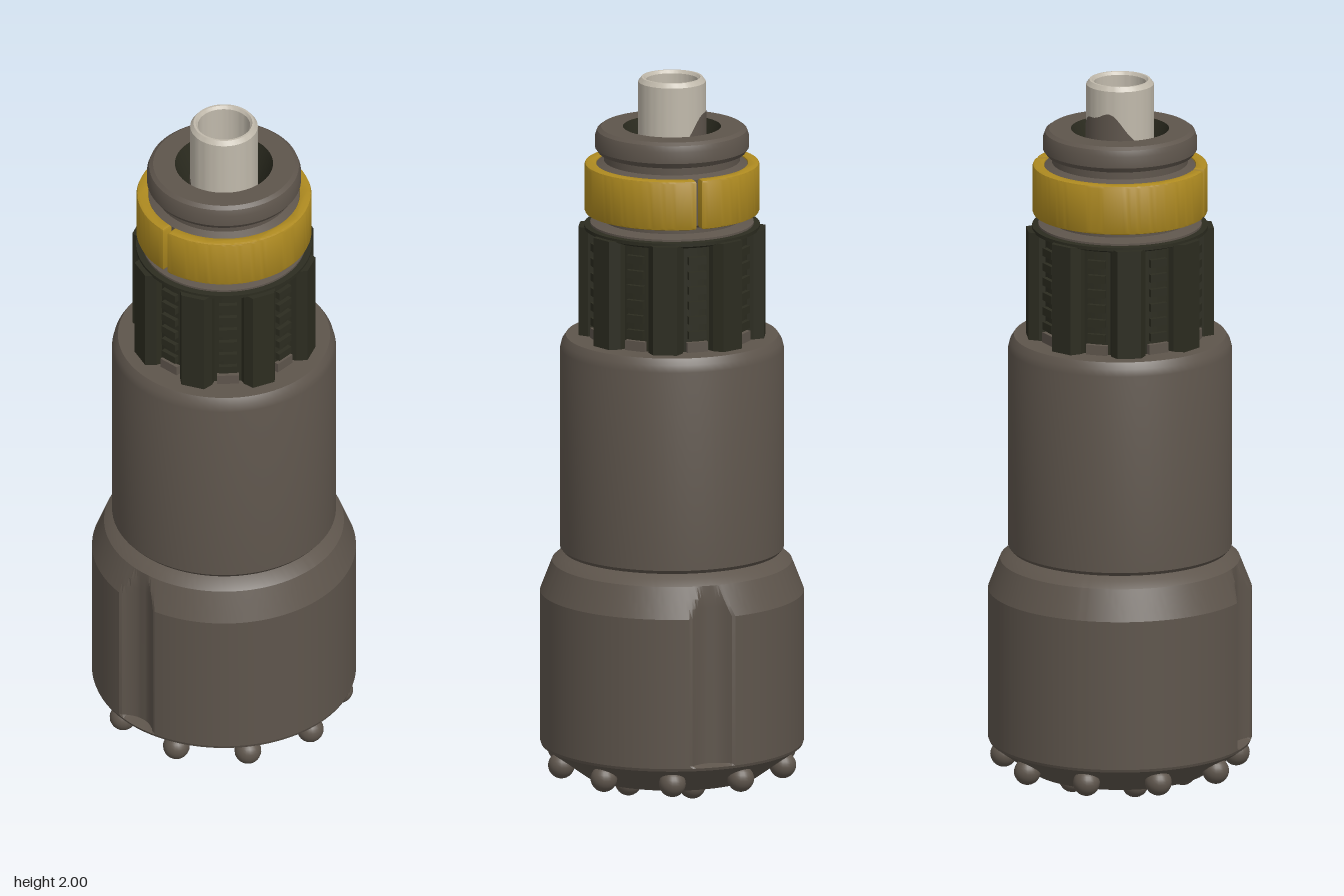
import * as THREE from 'three';
import { toCreasedNormals } from 'three/addons/utils/BufferGeometryUtils.js';

const mat = (name, color) => {
  const m = new THREE.MeshStandardMaterial({ color });
  m.name = name;
  return m;
};

export function createModel() {
  const steel = mat('brown steel', 0x5e554c);
  const dark = mat('dark olive', 0x2c2c20);
  const gold = mat('gold', 0xae8a20);
  const pale = mat('pale metal', 0xc0b9ab);

  const root = new THREE.Group();
  const add = (name, geometry, material, parent = root) => {
    const mesh = new THREE.Mesh(geometry, material);
    mesh.name = name;
    parent.add(mesh);
    return mesh;
  };
  const group = (name) => {
    const g = new THREE.Group();
    g.name = name;
    root.add(g);
    return g;
  };
  const lathe = (pts, segs = 72) =>
    new THREE.LatheGeometry(pts.map(([r, y]) => new THREE.Vector2(r, y)), segs);
  const turned = (pts) => toCreasedNormals(lathe(pts), 0.45);

  // Bit head, with a shallow scooped flute pressed into front and back
  const head = lathe([
    [0.097, 0.04], [0.25, 0.04], [0.36, 0.12], [0.363, 0.128], [0.363, 0.134], [0.363, 0.55],
    [0.353, 0.576], [0.343, 0.602], [0.33, 0.635], [0.31, 0.652], [0.275, 0.668], [0.2, 0.668],
  ], 240);
  const p = head.attributes.position;
  for (let i = 0; i < p.count; i++) {
    const x = p.getX(i), y = p.getY(i), z = p.getZ(i);
    const floor = 0.332 + 7 * x * x;
    if (y > 0.13 && y < 0.64 && Math.abs(x) < 0.07 && Math.abs(z) > floor) {
      p.setZ(i, Math.sign(z) * floor);
    }
  }
  add('bitHead', toCreasedNormals(head, 0.35), steel);

  // Carbide studs: ten on the gauge chamfer, six on the face
  const studs = group('studs');
  const studGeo = new THREE.SphereGeometry(0.037, 20, 14);
  const studRing = (name, count, radius, y, start) => {
    for (let i = 0; i < count; i++) {
      const a = start + (i / count) * Math.PI * 2;
      add(name, studGeo, steel, studs).position.set(Math.cos(a) * radius, y, Math.sin(a) * radius);
    }
  };
  studRing('gaugeStud', 10, 0.32, 0.077, 0);
  studRing('faceStud', 6, 0.18, 0.037, Math.PI / 6);

  // Sleeve above the bit head
  add('sleeve', turned([
    [0.2, 0.665], [0.3, 0.665], [0.308, 0.675], [0.308, 1.235], [0.303, 1.255], [0.292, 1.272], [0.19, 1.272],
  ]), steel);

  // Splined section: core, eight ribs and ladder rungs between them
  add('splineCore', turned([[0.216, 1.27], [0.216, 1.565], [0.242, 1.575], [0.242, 1.585], [0.18, 1.59]]), dark);
  const splines = group('splines');
  const ribShape = new THREE.Shape([
    new THREE.Vector2(-0.047, 0.2), new THREE.Vector2(0.047, 0.2), new THREE.Vector2(0.047, 0.228),
    new THREE.Vector2(0.033, 0.256), new THREE.Vector2(-0.033, 0.256), new THREE.Vector2(-0.047, 0.228),
  ]);
  const ribGeo = new THREE.ExtrudeGeometry(ribShape, { depth: 0.31, bevelEnabled: false });
  ribGeo.rotateX(-Math.PI / 2).translate(0, 1.268, 0);
  const rungGeo = new THREE.BoxGeometry(0.05, 0.022, 0.03);
  for (let i = 0; i < 8; i++) {
    const a = (i * Math.PI) / 4;
    add('rib', ribGeo, dark, splines).rotation.y = a + Math.PI / 8;
    for (let k = 0; k < 6; k++) {
      const rung = add('rung', rungGeo, dark, splines);
      rung.position.set(Math.sin(a) * 0.213, 1.32 + k * 0.042, Math.cos(a) * 0.213);
      rung.rotation.y = a;
    }
    // Small steel stop at the foot of each channel
    const stop = add('channelStop', new THREE.BoxGeometry(0.06, 0.03, 0.03), steel, splines);
    stop.position.set(Math.sin(a) * 0.212, 1.285, Math.cos(a) * 0.212);
    stop.rotation.y = a;
  }

  // Shank and its top collar
  add('shank', turned([
    [0.225, 1.586], [0.225, 1.592], [0.19, 1.6], [0.19, 1.615], [0.208, 1.625], [0.208, 1.755],
    [0.187, 1.765], [0.187, 1.785], [0.203, 1.79], [0.212, 1.803], [0.212, 1.835],
    [0.206, 1.852], [0.195, 1.86], [0.135, 1.86],
  ]), steel);

  // Split retaining ring, two halves
  const ringHalves = group('retainingRing');
  const end = Math.PI / 2 - 0.032;
  const arc = new THREE.Shape();
  arc.absarc(0, 0, 0.241, -end, end, false);
  arc.absarc(0, 0, 0.207, end, -end, true);
  const b = 0.008;
  const half = new THREE.ExtrudeGeometry(arc, {
    depth: 0.14 - 2 * b, curveSegments: 40, bevelThickness: b, bevelSize: b, bevelOffset: -b, bevelSegments: 2,
  });
  half.rotateX(-Math.PI / 2).translate(0, 1.62 + b, 0);
  const halfGeo = toCreasedNormals(half, 0.4);
  for (const turn of [0, Math.PI]) add('ringHalf', halfGeo, gold, ringHalves).rotation.y = turn;

  // Bore: funnel mouth, then straight through to the bit face
  add('bore', turned([[0.135, 1.86], [0.098, 1.72], [0.098, 0.04]]), dark);

  // Feed tube
  add('feedTube', turned([
    [0.072, 1.5], [0.093, 1.5], [0.093, 1.988], [0.084, 2], [0.078, 2], [0.072, 1.992], [0.072, 1.5],
  ]), pale);

  // Worn patch wrapped around one side of the tube
  const patch = new THREE.CylinderGeometry(0.0955, 0.0955, 0.1, 32, 1, true, 2.5, 3.35);
  const q = patch.attributes.position, uv = patch.attributes.uv;
  for (let i = 0; i < q.count; i++) {
    const u = uv.getX(i);
    const top = 1.79 + 0.13 * Math.sin(Math.PI * Math.pow(u, 1.3)) + 0.008 * Math.sin(u * 21);
    q.setY(i, uv.getY(i) > 0.5 ? top : 1.74);
  }
  add('wornPatch', patch, steel);

  return root;
}
